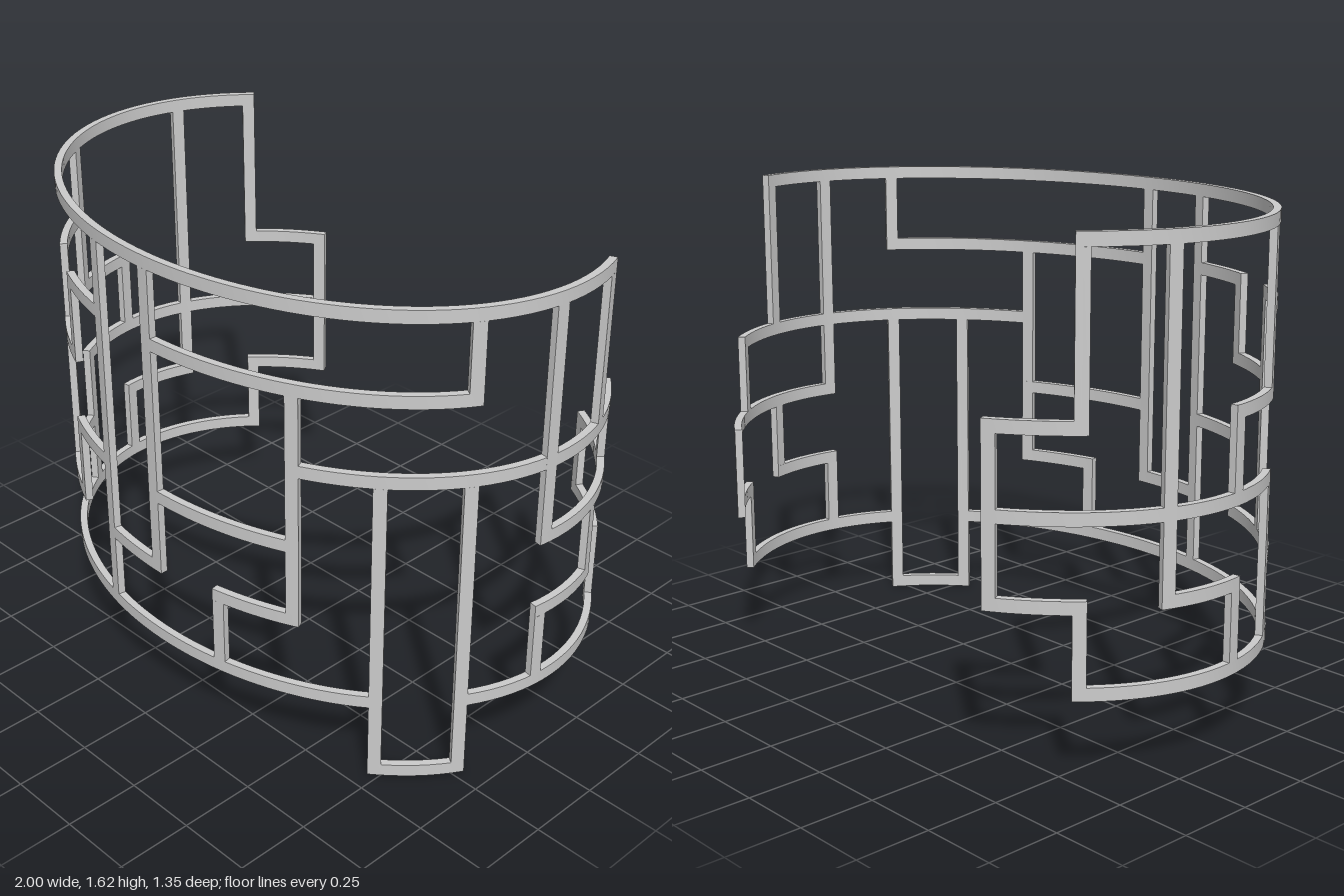
import * as THREE from 'three';
import { toCreasedNormals } from 'three/addons/utils/BufferGeometryUtils.js';

// Open oval cuff: a lattice drawn on a flat grid (columns -8..8, levels 0..6) and bent round an ellipse.
const A = 0.9875, B = 0.7425, CZ = -0.085;   // centre line of the wall
const THICK = 0.025, BAR = 0.042;
const COL = 0.2595, ROW = 0.2625;            // grid steps

// Arc length table, measured from the front centre
const STEPS = 2000, T_MAX = 2.7, lengths = [0];
for (let i = 1; i <= STEPS; i++) {
  const t = ((i - 0.5) / STEPS) * T_MAX;
  lengths.push(lengths[i - 1] + Math.hypot(A * Math.cos(t), B * Math.sin(t)) * T_MAX / STEPS);
}
function angleAt(s) {
  const d = Math.abs(s);
  let i = 1;
  while (i < STEPS && lengths[i] < d) i++;
  const f = (d - lengths[i - 1]) / (lengths[i] - lengths[i - 1]);
  return Math.sign(s) * ((i - 1 + f) / STEPS) * T_MAX;
}
// Plan point at arc length s, moved outwards by off (y of the plan is -z)
function planPoint(s, off) {
  const t = angleAt(s);
  const n = new THREE.Vector2(B * Math.sin(t), A * Math.cos(t)).normalize();
  return new THREE.Vector2(A * Math.sin(t) + n.x * off, -(CZ + B * Math.cos(t) + n.y * off));
}

// Curved slab between two arc lengths and two heights
function slab(s0, s1, y0, y1) {
  const n = Math.max(2, Math.ceil((s1 - s0) / 0.04));
  const outer = [], inner = [];
  for (let i = 0; i <= n; i++) {
    const s = s0 + (s1 - s0) * i / n;
    outer.push(planPoint(s, THICK / 2));
    inner.unshift(planPoint(s, -THICK / 2));
  }
  const geo = new THREE.ExtrudeGeometry(new THREE.Shape([...outer, ...inner]), {
    depth: y1 - y0, bevelEnabled: false, steps: 1,
  });
  geo.rotateX(-Math.PI / 2).translate(0, y0, 0);
  return toCreasedNormals(geo, 0.5);
}

// [level, first column, last column]
const RAILS = [
  [6, -7, 6],
  [5, -4, -3], [5, -2, -1], [5, 0, 4],
  [4, -8, -7], [4, -5, -4], [4, -3, -2], [4, 2, 7],
  [3, -8, -4], [3, -2, -1], [3, 0, 2], [3, 5, 8],
  [2, -8, -7], [2, -6, -5], [2, -4, -2], [2, -1, 0], [2, 1, 2], [2, 5, 6], [2, 7, 8],
  [1, -7, 3], [1, 4, 7],
  [0, 3, 4],
];
// [column, lower level, upper level]
const POSTS = [
  [-8, 2, 4], [-7, 4, 6], [-7, 1, 2], [-6, 2, 6], [-5, 3, 4], [-5, 1, 2],
  [-4, 4, 6], [-4, 1, 3], [-3, 2, 5], [-2, 4, 5], [-2, 2, 3], [-1, 1, 6],
  [0, 2, 6], [1, 1, 2], [2, 2, 5], [3, 0, 4], [4, 5, 6], [4, 0, 4],
  [5, 3, 6], [5, 1, 2], [6, 4, 6], [6, 2, 3], [7, 3, 4], [7, 1, 2], [8, 2, 3],
];

export function createModel() {
  const model = new THREE.Group();
  model.name = 'latticeCuff';
  const material = new THREE.MeshStandardMaterial({ color: 0xcccccc });
  const h = BAR / 2;
  const add = (group, name, geo) => {
    const mesh = new THREE.Mesh(geo, material);
    mesh.name = name;
    group.add(mesh);
  };

  // Curved horizontal rails
  const rails = new THREE.Group();
  rails.name = 'rails';
  for (const [level, c0, c1] of RAILS) {
    const name = level === 6 ? 'topRail' : level === 1 ? 'bottomRail' : level === 0 ? 'tabEnd' : 'rail';
    add(rails, name, slab(c0 * COL - h, c1 * COL + h, level * ROW, level * ROW + BAR));
  }

  // Upright posts, fitted between the rails
  const posts = new THREE.Group();
  posts.name = 'posts';
  for (const [col, l0, l1] of POSTS) {
    add(posts, 'post', slab(col * COL - h, col * COL + h, l0 * ROW + BAR, l1 * ROW));
  }

  model.add(rails, posts);
  return model;
}
